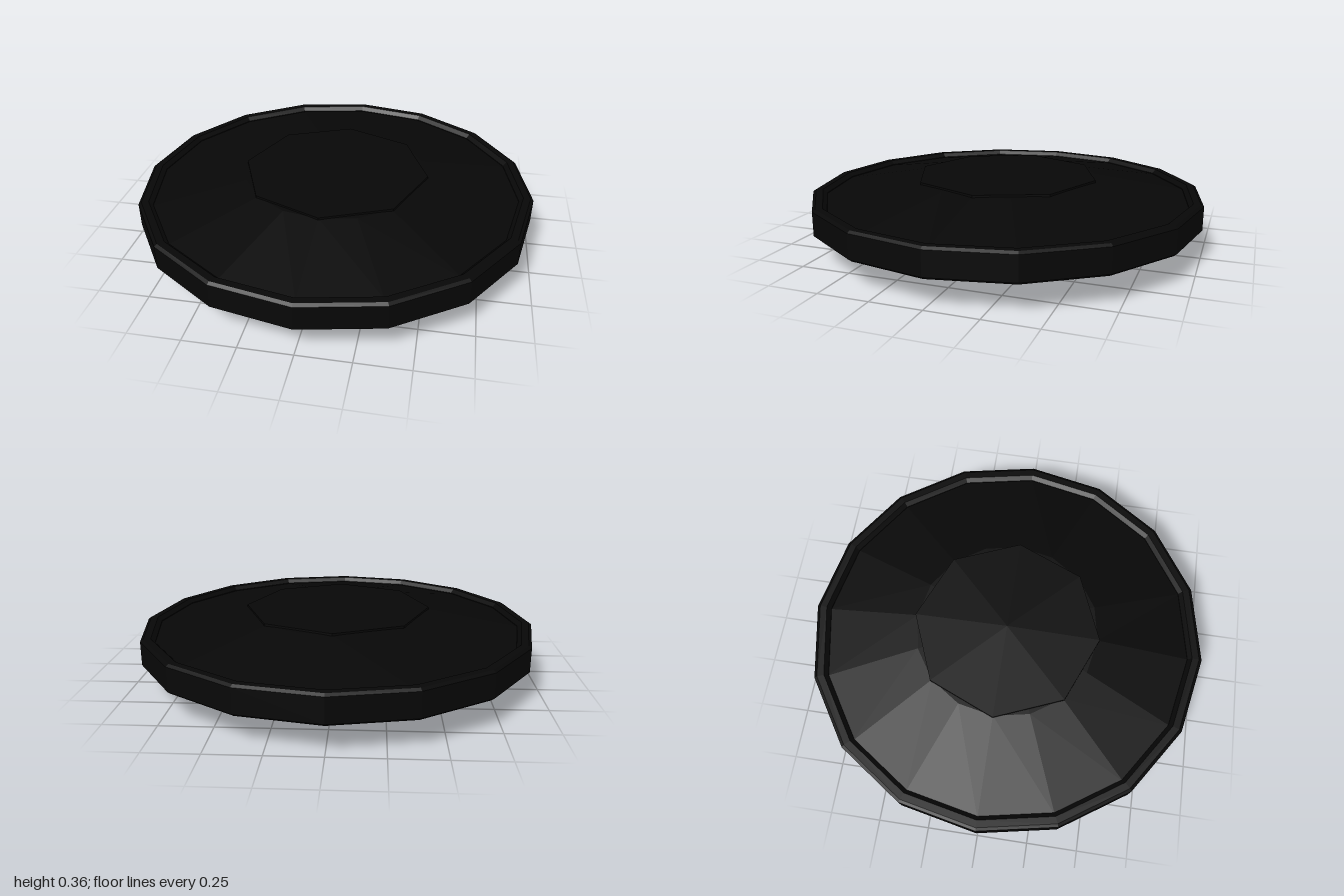
import * as THREE from 'three';

const black = new THREE.MeshStandardMaterial({ color: 0x070707, flatShading: true });
black.name = 'black';

// Revolves a counter-clockwise (radius, height) profile
function turned(name, profile, sides) {
  const points = profile.map(([r, y]) => new THREE.Vector2(r, y));
  const mesh = new THREE.Mesh(new THREE.LatheGeometry(points, sides), black);
  mesh.name = name;
  return mesh;
}

export function createModel() {
  const model = new THREE.Group();
  model.name = 'roundShield';

  // Outer band with small chamfers and a bevelled inner lip
  model.add(turned('rim', [
    [0.93, 0.145], [0.945, 0.13], [0.985, 0.13], [1, 0.142], [1, 0.26],
    [0.985, 0.27], [0.95, 0.27], [0.93, 0.25], [0.93, 0.145],
  ], 16));

  // Shallow domed body with an evenly hollowed underside
  model.add(turned('domedFace', [
    [0, 0.255], [0.46, 0.233], [0.94, 0.145], [0.94, 0.244], [0.46, 0.335], [0, 0.35],
  ], 16));

  // Eight-sided centre plate
  model.add(turned('centreBoss', [
    [0.46, 0.325], [0.47, 0.333], [0.47, 0.345], [0, 0.361],
  ], 8));

  // Bent strap across the back, running front to back
  const path = [[-0.74, 0.175], [-0.57, 0.129], [-0.38, 0.07], [0, 0],
    [0.38, 0.07], [0.57, 0.129], [0.74, 0.175]];
  const thickness = 0.014;
  const outline = path.concat(path.map(([z, y]) => [z, y + thickness]).reverse());
  const shape = new THREE.Shape(outline.map(([z, y]) => new THREE.Vector2(z, y)));
  const strapGeometry = new THREE.ExtrudeGeometry(shape, { depth: 0.25, bevelEnabled: false });
  strapGeometry.translate(0, 0, -0.125).rotateY(Math.PI / 2);
  const strap = new THREE.Mesh(strapGeometry, black);
  strap.name = 'armStrap';
  model.add(strap);

  return model;
}
